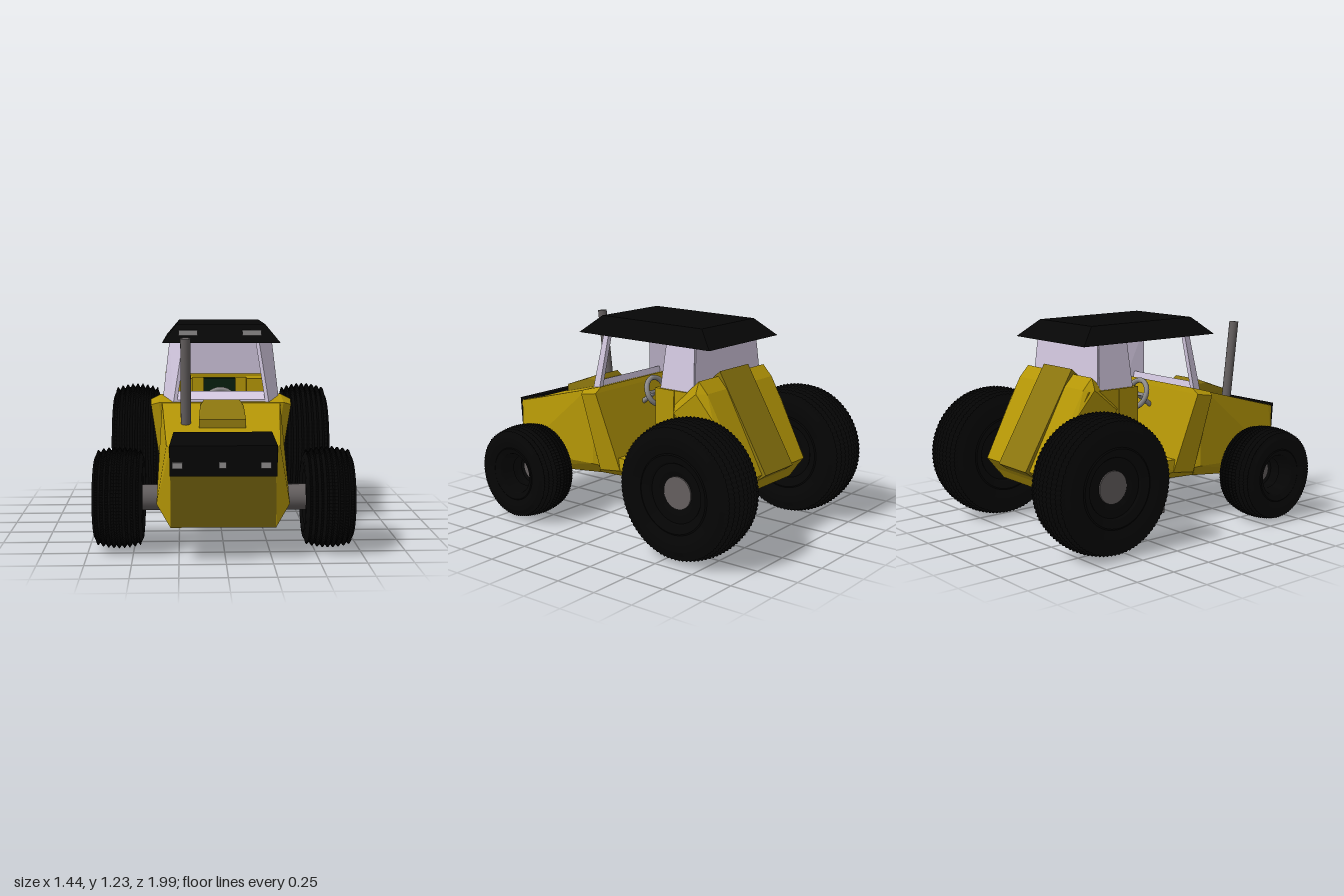
import * as THREE from 'three';
import { ConvexGeometry } from 'three/addons/geometries/ConvexGeometry.js';

const mat = (name, color) => {
  const m = new THREE.MeshStandardMaterial({ color });
  m.name = name;
  return m;
};

export function createModel() {
  const yellow = mat('yellow paint', 0xb49606);
  const ochre = mat('ochre panel', 0x8c760e);
  const olive = mat('dark nose panel', 0x6a5a0c);
  const black = mat('black', 0x060606);
  const rubber = mat('rubber', 0x050505);
  const lilac = mat('pale cab frame', 0xd4c9e1);
  const grey = mat('grey metal', 0x645f5f);
  const lamp = mat('light grey', 0x8e8c8c);
  const green = mat('seat green', 0x07200f);

  const model = new THREE.Group();
  model.name = 'tractor';
  const body = new THREE.Group();
  body.name = 'vehicle';
  body.rotation.y = -0.015;
  model.add(body);

  const add = (name, geo, material, x = 0, y = 0, z = 0, parent = body) => {
    const m = new THREE.Mesh(geo, material);
    m.name = name;
    m.position.set(x, y, z);
    parent.add(m);
    return m;
  };
  const box = (name, w, h, d, material, x, y, z, parent) =>
    add(name, new THREE.BoxGeometry(w, h, d), material, x, y, z, parent);
  // faceted solid through corner points
  const solid = (name, pts, material) =>
    add(name, new ConvexGeometry(pts.map(p => new THREE.Vector3(...p))), material);
  const mirror = pts => pts.flatMap(([x, y, z]) => [[x, y, z], [-x, y, z]]);
  const symmetric = (name, pts, material) => solid(name, mirror(pts), material);
  const pair = (name, pts, material) => {
    for (const s of [1, -1]) {
      solid((s > 0 ? 'left ' : 'right ') + name, pts.map(([x, y, z]) => [s * x, y, z]), material);
    }
  };
  // rod between two points
  const rod = (name, a, b, r, material, parent, sides = 16) => {
    const p = new THREE.Vector3(...a), q = new THREE.Vector3(...b);
    const m = add(name, new THREE.CylinderGeometry(r, r, p.distanceTo(q), sides), material, 0, 0, 0, parent);
    m.position.copy(p).add(q).multiplyScalar(0.5);
    m.quaternion.setFromUnitVectors(new THREE.Vector3(0, 1, 0), q.sub(p).normalize());
  };

  // hood, cowl and floor
  symmetric('hood', [
    [0.28, 0.19, 0.95], [0.28, 0.62, 0.975], [0.355, 0.31, 0.91], [0.30, 0.63, 0.93],
    [0.28, 0.26, 0.3], [0.35, 0.33, 0.3], [0.34, 0.785, 0.35], [0.3, 0.31, 0.2], [0.34, 0.75, 0.3],
  ], yellow);
  symmetric('nose panel', [
    [0.279, 0.191, 0.954], [0.279, 0.475, 0.971], [0.279, 0.191, 0.947], [0.279, 0.475, 0.964],
  ], olive);
  symmetric('cowl', [
    [0.36, 0.785, 0.36], [0.405, 0.77, 0.335], [0.35, 0.82, 0.225], [0.41, 0.79, 0.215],
    [0.34, 0.3, 0.25], [0.34, 0.32, 0.09], [0.28, 0.26, 0.3],
  ], yellow);
  symmetric('cab floor', [
    [0.28, 0.26, 0.33], [0.31, 0.30, -0.3], [0.34, 0.32, 0.2], [0.33, 0.32, -0.3],
    [0.33, 0.395, 0.2], [0.33, 0.395, -0.3],
  ], yellow);
  symmetric('hood scoop', [
    [0.13, 0.66, 0.72], [0.128, 0.735, 0.71], [0.122, 0.79, 0.55],
    [0.1, 0.817, 0.49], [0.12, 0.79, 0.475], [0.125, 0.72, 0.47],
  ], ochre);

  // grille wrapping over the nose, with three lamps
  symmetric('grille front', [
    [0.283, 0.47, 0.94], [0.283, 0.47, 0.978], [0.283, 0.635, 0.99], [0.283, 0.62, 0.94],
  ], black);
  symmetric('grille top', [
    [0.283, 0.61, 0.93], [0.283, 0.635, 0.99], [0.265, 0.68, 0.8], [0.265, 0.64, 0.8],
  ], black);
  for (const [x, w] of [[-0.242, 0.055], [-0.005, 0.04], [0.222, 0.055]]) {
    box('grille lamp', w, 0.032, 0.02, lamp, x, 0.53, 0.98);
  }

  // exhaust stack
  rod('exhaust', [-0.2, 0.66, 0.645], [-0.2, 1.175, 0.705], 0.028, grey);

  // rear body, recessed in the middle for the seat
  pair('seat side wall', [
    [0.17, 0.3, -0.18], [0.17, 0.87, -0.18], [0.33, 0.3, -0.18], [0.335, 0.87, -0.18],
    [0.17, 0.3, -0.32], [0.17, 0.87, -0.32], [0.34, 0.3, -0.32], [0.34, 0.87, -0.32],
  ], yellow);
  symmetric('rear body', [
    [0.335, 0.87, -0.27], [0.33, 0.3, -0.27], [0.3, 0.29, -0.7], [0.31, 0.42, -0.79], [0.335, 0.87, -0.53],
  ], yellow);
  const panel = symmetric('rear panel', [
    [0.32, 0.945, -0.49], [0.32, 0.79, -0.32], [0.36, 0.88, -0.5], [0.355, 0.75, -0.34],
    [0.345, 0.74, -0.61], [0.305, 0.42, -0.8], [0.32, 0.88, -0.55], [0.31, 0.3, -0.7],
  ], yellow);
  panel.position.x = 0.012;
  const spine = symmetric('rear spine', [
    [0.14, 0.975, -0.5], [0.14, 0.93, -0.45], [0.14, 0.42, -0.825], [0.14, 0.33, -0.7],
  ], ochre);
  spine.position.x = 0.008;

  // cab frame, with front pillars set diagonally
  pair('front pillar', [
    [0.255, 0.785, 0.35], [0.275, 0.785, 0.355], [0.315, 0.79, 0.245], [0.34, 0.79, 0.25],
    [0.2, 1.13, 0.305], [0.22, 1.13, 0.31], [0.275, 1.13, 0.2], [0.3, 1.13, 0.205],
  ], lilac);
  symmetric('windscreen sill', [
    [0.27, 0.77, 0.35], [0.27, 0.8, 0.348], [0.28, 0.843, 0.29], [0.28, 0.79, 0.28],
  ], lilac);
  symmetric('cab back wall', [
    [0.32, 0.86, -0.46], [0.32, 0.86, -0.42], [0.295, 1.13, -0.44], [0.295, 1.13, -0.4],
  ], lilac);
  pair('cab rear side', [
    [0.325, 0.86, -0.21], [0.325, 0.86, -0.45], [0.29, 0.86, -0.21], [0.29, 0.86, -0.45],
    [0.3, 1.13, -0.235], [0.3, 1.13, -0.435], [0.265, 1.13, -0.235], [0.265, 1.13, -0.435],
  ], lilac);
  symmetric('roof', [
    [0.338, 1.13, 0.405], [0.338, 1.125, -0.565], [0.255, 1.232, 0.29], [0.255, 1.225, -0.45],
  ], black);
  for (const x of [-0.19, 0.175]) box('roof lamp', 0.108, 0.03, 0.05, lamp, x, 1.185, 0.335);

  // seat and steering
  box('seat cushion', 0.22, 0.055, 0.18, green, 0, 0.537, -0.15);
  box('seat base', 0.12, 0.14, 0.08, green, 0, 0.45, -0.23);
  box('seat back', 0.2, 0.34, 0.06, green, 0, 0.7, -0.23);
  const wheelRim = add('steering wheel', new THREE.TorusGeometry(0.085, 0.016, 8, 28), lamp, 0, 0.755, 0.085);
  wheelRim.rotation.x = 0.36;
  const spoke = box('steering spoke', 0.16, 0.02, 0.012, lamp, 0, 0.755, 0.085);
  spoke.rotation.x = 0.36;
  rod('steering column', [0, 0.755, 0.085], [0, 0.66, 0.21], 0.015, lamp);

  // boarding ladders
  for (const s of [1, -1]) {
    const ladder = new THREE.Group();
    ladder.name = s > 0 ? 'left ladder' : 'right ladder';
    ladder.position.x = s * 0.328 + 0.009;
    body.add(ladder);
    for (const z of [0.012, -0.16]) box('ladder rail', 0.022, 0.34, 0.038, grey, 0, 0.25, z, ladder);
    for (let i = 0; i < 5; i++) {
      const y = 0.13 + i * 0.068;
      rod('ladder rung', [0, y, 0.012], [0, y, -0.16], 0.012, grey, ladder, 8);
    }
  }

  // tyre: sidewalls dished to the hub and a rounded, toothed, ribbed tread
  const tyreGeometry = (R, half, hub, dish) => {
    const lip = hub + R * 0.08;
    const side = [
      [hub, dish], [lip, dish + 0.1], [R * 0.42, 0.72], [R * 0.44, 0.8], [R * 0.55, 0.92],
      [R * 0.57, 0.89], [R * 0.7, 1], [R * 0.8, 0.98], [R * 0.87, 0.9],
    ];
    const pts = side.map(([r, k]) => new THREE.Vector2(r, -k * half));
    const ribs = 17;
    for (let i = 0; i < ribs; i++) {
      const t = -0.86 + 1.72 * i / (ribs - 1);
      const crown = R * (1 - 0.085 * t * t);
      pts.push(new THREE.Vector2(i % 2 ? crown - R * 0.07 : crown, t * half));
    }
    for (const [r, k] of [...side].reverse()) pts.push(new THREE.Vector2(r, k * half));
    const segs = 180;
    const geo = new THREE.LatheGeometry(pts, segs);
    const p = geo.attributes.position;
    for (let i = 0; i < p.count; i++) {
      const column = Math.floor(i / pts.length) % segs;
      const r = Math.hypot(p.getX(i), p.getZ(i));
      if (r > R * 0.88 && column % 2) {
        p.setX(i, p.getX(i) * 0.982);
        p.setZ(i, p.getZ(i) * 0.982);
      }
    }
    const flat = geo.toNonIndexed();
    flat.computeVertexNormals();
    return flat.rotateZ(Math.PI / 2);
  };

  // axles with a wheel at each end
  for (const [name, R, half, x, y, z, hub, dish, shift] of [
    ['front', 0.283, 0.137, 0.578, 0.287, 0.626, 0.07, -0.35, 0.007],
    ['rear', 0.397, 0.154, 0.545, 0.4, -0.595, 0.09, 0.6, 0.01],
  ]) {
    const tyre = tyreGeometry(R, half, hub, dish);
    const end = x + half * (dish + 0.06);
    rod(name + ' axle', [shift - end, y, z], [shift + end, y, z], hub + 0.002, grey, body, 32);
    for (const s of [1, -1]) add(`${name} ${s > 0 ? 'left' : 'right'} tyre`, tyre, rubber, s * x + shift, y, z);
  }

  return model;
}
